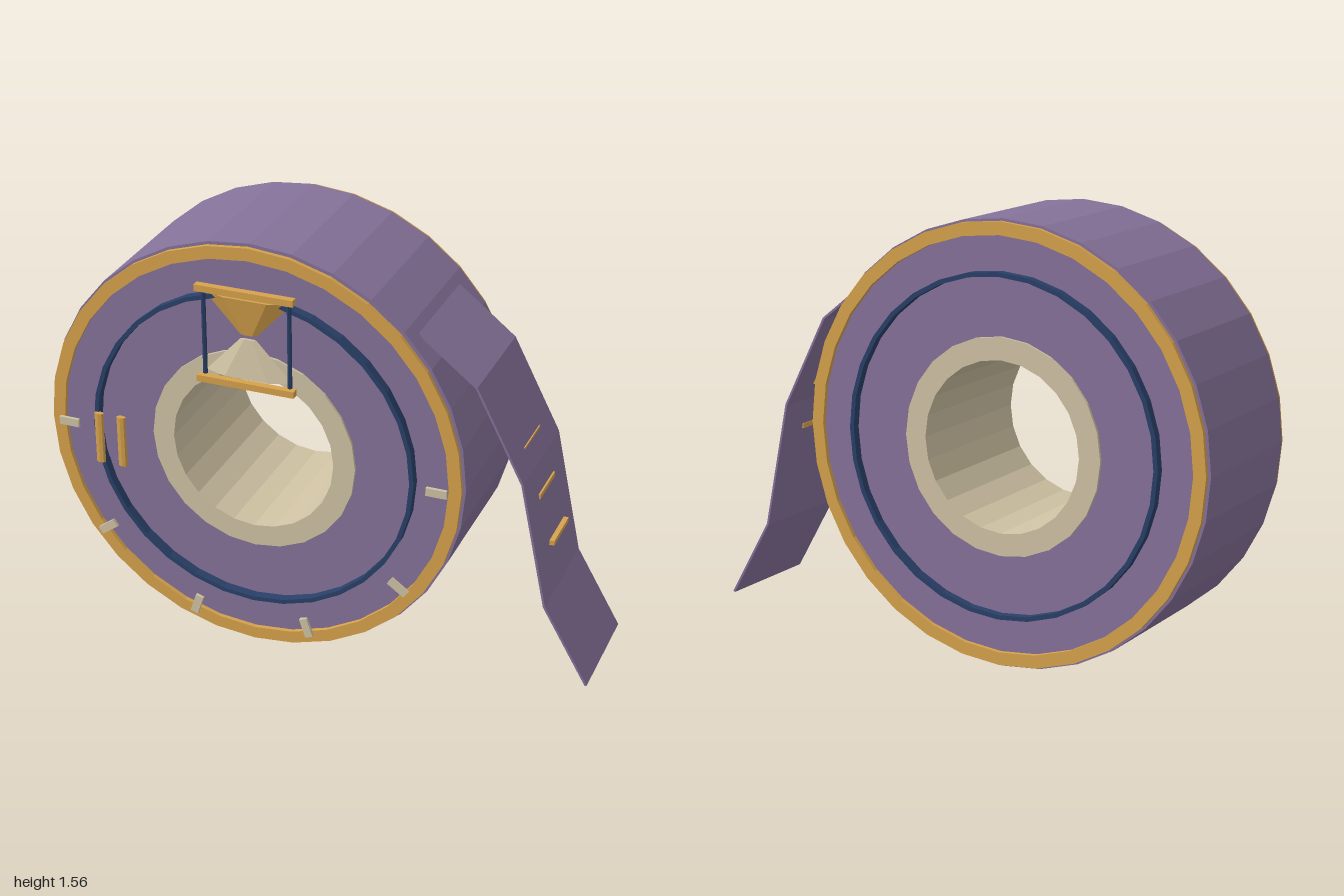
import * as THREE from 'three';

const mat = (color, side = THREE.FrontSide) =>
  new THREE.MeshStandardMaterial({ color, flatShading: true, side });
const purple = mat(0x86729a), gold = mat(0xd6a24c), navy = mat(0x2a4068), cream = mat(0xd0c3a4);

const CX = -0.22, CY = 0.78; // axis of the roll

function add(parent, name, geometry, material, x = 0, y = 0, z = 0) {
  const mesh = new THREE.Mesh(geometry, material);
  mesh.name = name;
  mesh.position.set(x, y, z);
  parent.add(mesh);
  return mesh;
}

// Polygonal ring around the roll axis, running from z0 to z1
function ring(outer, inner, z0, z1, sides) {
  const loop = r => Array.from({ length: sides }, (_, i) => {
    const a = i / sides * Math.PI * 2;
    return new THREE.Vector2(r * Math.cos(a), r * Math.sin(a));
  });
  const shape = new THREE.Shape(loop(outer));
  shape.holes.push(new THREE.Path(loop(inner)));
  return new THREE.ExtrudeGeometry(shape, { depth: z1 - z0, bevelEnabled: false }).translate(0, 0, z0);
}

export function createModel() {
  const model = new THREE.Group();
  model.name = 'tapeRoll';

  // Wound roll, core and the rings on both faces
  const roll = new THREE.Group();
  roll.name = 'roll';
  roll.position.set(CX, CY, 0);
  model.add(roll);
  add(roll, 'woundTape', ring(0.78, 0.37, -0.297, 0.262, 32), purple);
  add(roll, 'core', ring(0.382, 0.302, -0.307, 0.272, 24), cream);
  for (const [face, edge, line] of [['front', [0.27, 0.286], [0.262, 0.296]], ['back', [-0.317, -0.301], [-0.327, -0.297]]]) {
    add(roll, face + 'EdgeRing', ring(0.772, 0.726, ...edge, 32), gold);
    add(roll, face + 'InnerRing', ring(0.604, 0.588, ...line, 32), navy);
  }

  // Dial marks round the lower half of the front face
  for (let i = 0; i < 6; i++) {
    const a = -i * Math.PI / 5;
    const mark = add(roll, 'dialMark', new THREE.BoxGeometry(0.075, 0.03, 0.012), cream,
      0.692 * Math.cos(a), 0.692 * Math.sin(a), 0.314);
    mark.rotation.z = a;
  }

  // Pair of upright bars
  for (const x of [-0.8, -0.713]) {
    const bar = add(model, 'pauseBar', new THREE.CylinderGeometry(0.018, 0.018, 0.195, 8), gold, x, 0.732, 0.302);
    bar.scale.z = 0.6;
  }

  // Hourglass
  const glass = new THREE.Group();
  glass.name = 'hourglass';
  glass.position.set(CX, 0, 0);
  model.add(glass);
  for (const y of [1.397, 1.057])
    add(glass, 'hourglassCap', new THREE.BoxGeometry(0.36, 0.024, 0.026), gold, 0, y, 0.314);
  for (const s of [-1, 1])
    add(glass, 'hourglassPost', new THREE.CylinderGeometry(0.008, 0.008, 0.33, 6), navy, s * 0.157, 1.227, 0.302);
  const bulb = (name, top, bottom, material, y) => {
    const geometry = new THREE.CylinderGeometry(top, bottom, 0.14, 6).rotateY(Math.PI / 6).scale(1, 1, 0.2);
    add(glass, name, geometry, material, 0, y, 0.286);
  };
  bulb('upperBulb', 0.16, 0.03, gold, 1.303);
  bulb('lowerBulb', 0.03, 0.16, cream, 1.147);

  // Loose tail of tape: a thin ribbon swept along its bends
  const path = [[0.355, 1.3], [0.563, 1.135], [0.735, 0.8], [0.832, 0.335], [0.997, 0.048]];
  const t = 0.004;
  const sides = [1, -1].map(s => path.map((p, i) => {
    const a = path[Math.max(i - 1, 0)], b = path[Math.min(i + 1, path.length - 1)];
    const dx = b[0] - a[0], dy = b[1] - a[1], len = Math.hypot(dx, dy);
    return new THREE.Vector2(p[0] - s * t * dy / len, p[1] + s * t * dx / len);
  }));
  const outline = new THREE.Shape([...sides[0], ...sides[1].reverse()]);
  add(model, 'tapeTail', new THREE.ExtrudeGeometry(outline, { depth: 0.416, bevelEnabled: false }),
    purple, 0, 0, -0.224);

  // Gold marks on the tail
  for (const [x, y] of [[0.695, 0.868], [0.757, 0.695], [0.815, 0.522]])
    add(model, 'tailMark', new THREE.BoxGeometry(0.018, 0.018, 0.174), gold, x, y, -0.016);

  return model;
}
